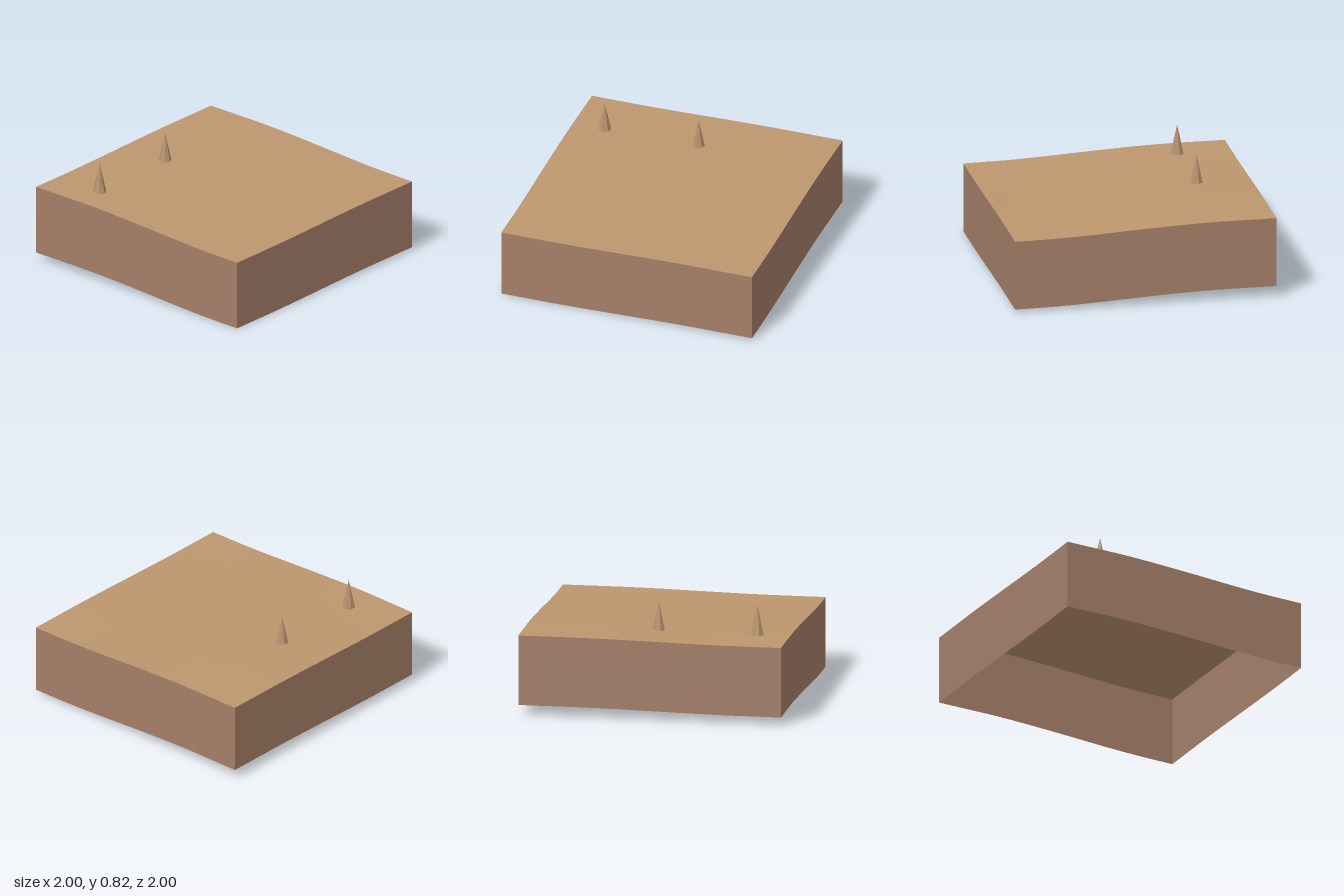
import * as THREE from 'three';

const mat = (name, color, side = THREE.FrontSide, flatShading = false) =>
  Object.assign(new THREE.MeshStandardMaterial({ color, side, flatShading }), { name });

const WALL = 0.535; // wall height below the terrain edge
const smooth = THREE.MathUtils.smoothstep;

// gently sloping ground: falls towards +x, rises slightly towards the back
const ground = (x, z) => WALL + 0.06 - 0.048 * smooth(x, -0.65, 0.75) - 0.012 * smooth(x, 0, 1.2) / 0.926
  + 0.02 * smooth(-z, -0.7, 0.6);

export function createModel() {
  const group = new THREE.Group();
  const sand = mat('sand', 0xbd976e, THREE.DoubleSide);
  const earth = mat('earth', 0xa57f69, THREE.DoubleSide);
  const rock = mat('rock', 0xb7916e, THREE.FrontSide, true);

  const add = (name, geometry, material) => {
    const mesh = new THREE.Mesh(geometry, material);
    mesh.name = name;
    group.add(mesh);
    return mesh;
  };

  // terrain sheet
  const top = new THREE.PlaneGeometry(2, 2, 24, 24).rotateX(-Math.PI / 2);
  const p = top.attributes.position;
  for (let i = 0; i < p.count; i++) p.setY(i, ground(p.getX(i), p.getZ(i)));
  top.computeVertexNormals();
  add('terrain', top, sand);

  // four skirt walls whose lower rim follows the terrain edge; the bottom is open
  ['frontWall', 'leftWall', 'backWall', 'rightWall'].forEach((name, i) => {
    const wall = new THREE.PlaneGeometry(2, 1, 24, 1).translate(0, 0, 1).rotateY(i * Math.PI / 2);
    const q = wall.attributes.position;
    for (let j = 0; j < q.count; j++)
      q.setY(j, ground(q.getX(j), q.getZ(j)) - (q.getY(j) < 0 ? WALL : 0));
    add(name, wall, earth);
  });

  // two faceted spikes
  [0, 0.75].forEach((z, i) => {
    const spike = new THREE.ConeGeometry(0.053, 0.24, 7).rotateY(Math.PI / 2);
    add('spike' + (i + 1), spike, rock).position.set(-0.585, 0.703, z);
  });

  return group;
}
